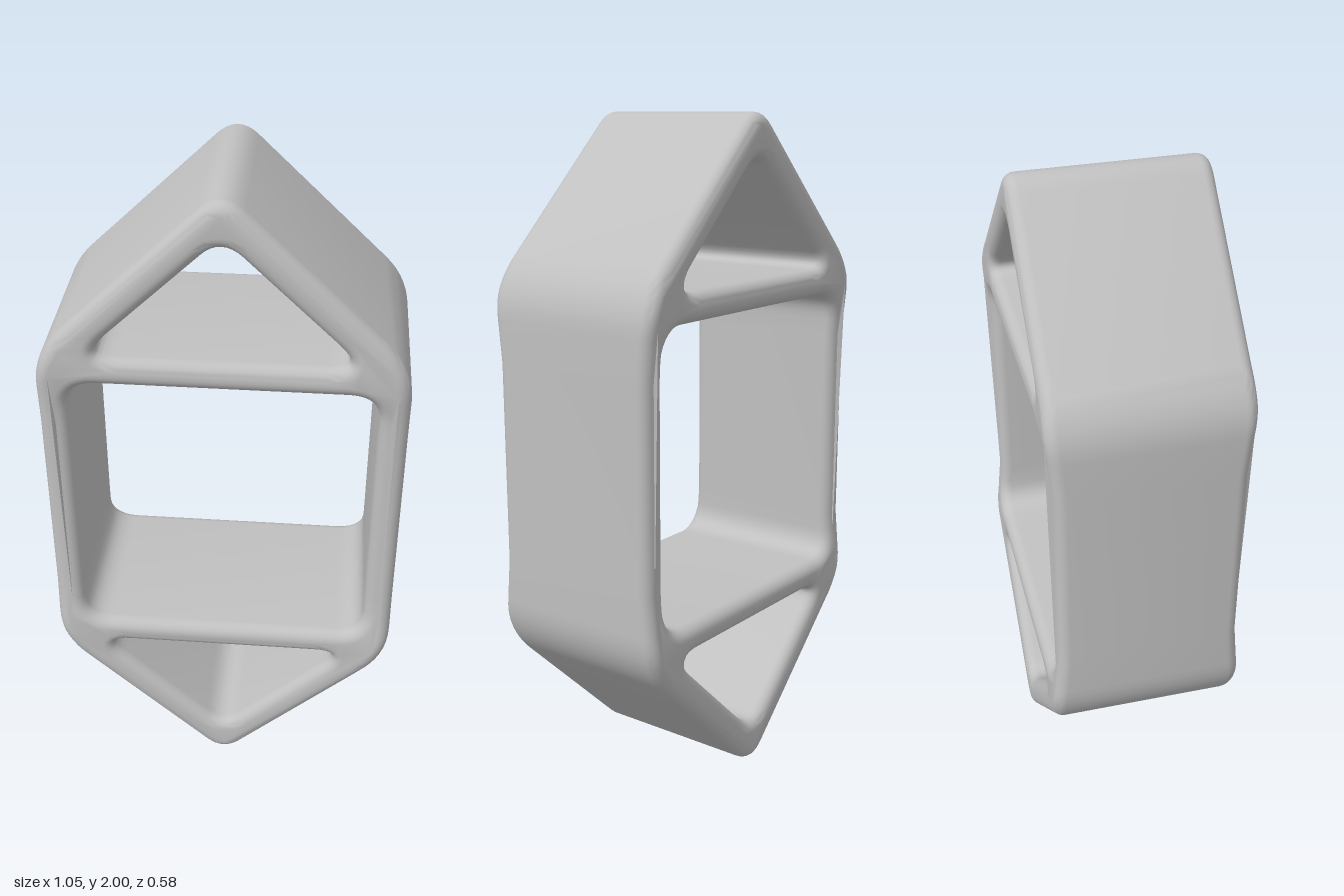
import * as THREE from 'three';
import { toCreasedNormals } from 'three/addons/utils/BufferGeometryUtils.js';

const DEPTH = 0.57, BEVEL = 0.036;

// Closed outline whose corners [x, y, cut] are rounded, starting "cut" away from each corner.
// A cut of zero keeps the point as it is.
function roundedOutline(corners, path = new THREE.Path()) {
  const points = [];
  corners.forEach(([x, y, cut], i) => {
    const corner = new THREE.Vector2(x, y);
    if (!cut) return points.push(corner);
    const n = corners.length;
    const toward = ([px, py]) => new THREE.Vector2(px - x, py - y).setLength(cut).add(corner);
    const curve = new THREE.QuadraticBezierCurve(
      toward(corners[(i + n - 1) % n]), corner, toward(corners[(i + 1) % n]));
    points.push(...curve.getPoints(8));
  });
  return path.setFromPoints(points);
}

export function createModel() {
  const group = new THREE.Group();
  const grey = new THREE.MeshStandardMaterial({ color: 0xc0c0c0 });
  grey.name = 'plain grey';

  // Outer silhouette, centred on the origin: a tall hexagon
  const shape = roundedOutline([
    [0, 1.03, 0.085], [-0.523, 0.532, 0.11], [-0.523, 0.3, 0], [-0.523, -0.3, 0],
    [-0.523, -0.532, 0.11], [0, -1.03, 0.085], [0.523, -0.532, 0.11],
    [0.523, -0.3, 0], [0.523, 0.3, 0], [0.523, 0.532, 0.11],
  ], new THREE.Shape());

  // Square middle opening
  shape.holes.push(roundedOutline([
    [-0.438, 0.44, 0.085], [0.438, 0.44, 0.085], [0.438, 0.3, 0], [0.438, -0.3, 0],
    [0.438, -0.44, 0.085], [-0.438, -0.44, 0.085], [-0.438, -0.3, 0], [-0.438, 0.3, 0],
  ]));

  // Triangular openings at both ends
  for (const s of [1, -1]) {
    shape.holes.push(roundedOutline([
      [0, 0.897 * s, 0.075], [0.39, 0.526 * s, 0.1], [-0.39, 0.526 * s, 0.1],
    ]));
  }

  const geometry = new THREE.ExtrudeGeometry(shape, {
    depth: DEPTH - 2 * BEVEL, bevelEnabled: true, bevelThickness: BEVEL,
    bevelSize: BEVEL, bevelOffset: -BEVEL, bevelSegments: 6,
  });
  geometry.translate(0, 0, -DEPTH / 2 + BEVEL);

  // The side walls are a little narrower at mid height and swell at the shoulders
  const p = geometry.attributes.position;
  for (let i = 0; i < p.count; i++) {
    const h = Math.abs(p.getY(i));
    const waist = 1 - THREE.MathUtils.smoothstep(h, 0.3, 0.48);
    const shoulder = Math.max(0, 1 - Math.abs(h - 0.5) / 0.12)
      * THREE.MathUtils.smoothstep(Math.abs(p.getX(i)), 0.32, 0.45);
    p.setZ(i, p.getZ(i) * (1 - 0.045 * waist + 0.02 * shoulder));
  }

  const frame = new THREE.Mesh(toCreasedNormals(geometry, 0.9), grey);
  frame.name = 'hexagonalFrame';
  frame.position.y = 1;
  group.add(frame);
  return group;
}
